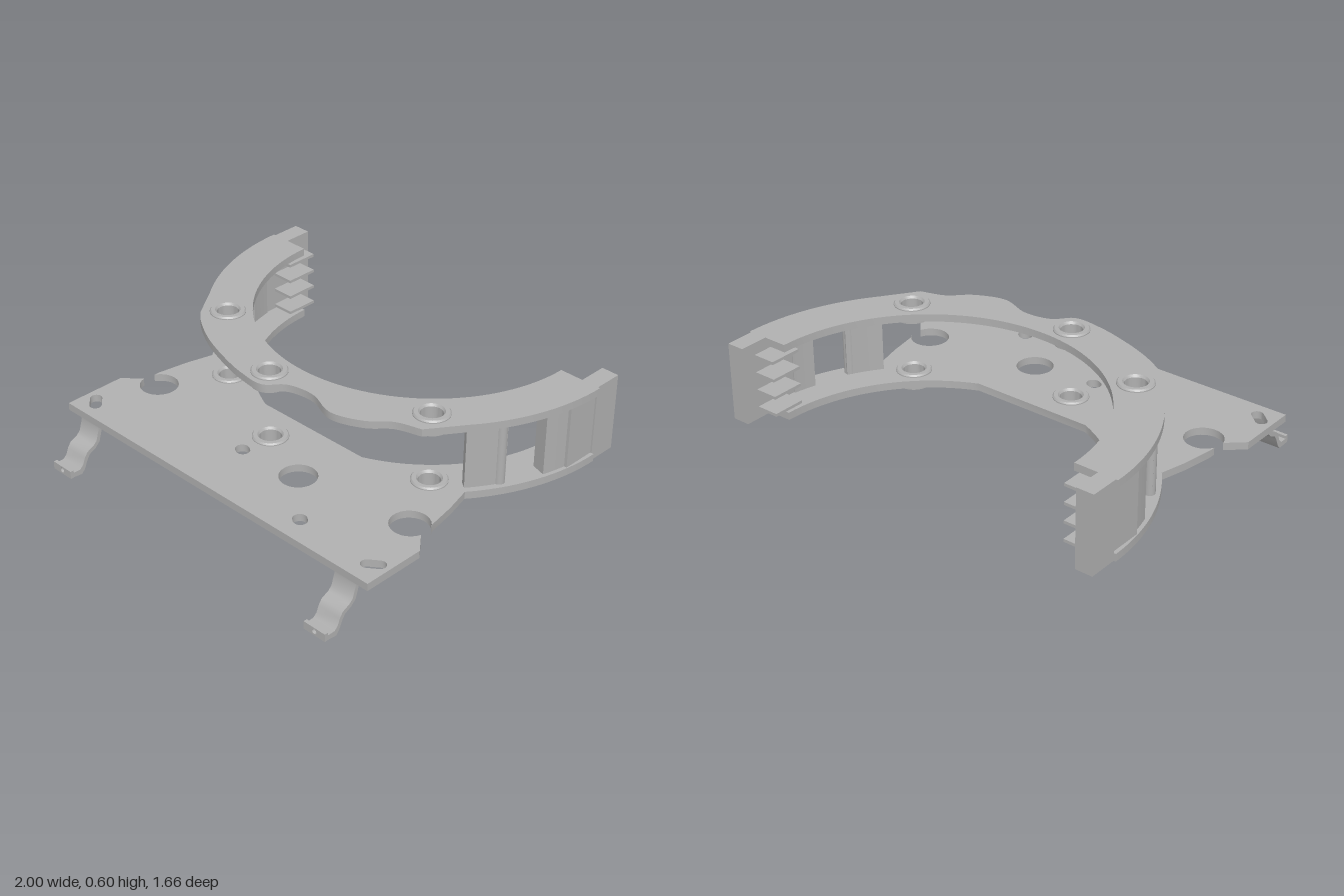
import * as THREE from 'three';
import { toCreasedNormals } from 'three/addons/utils/BufferGeometryUtils.js';

const CZ = -0.69;            // centre of the ring arcs
const R_OUT = 1, R_IN = 0.79;
const LOW = 0.246, HIGH = 0.584, THICK = 0.036;

// Points (x, z) along an arc
function arc(cx, cz, r, a0, a1, n = 24) {
  return Array.from({ length: n + 1 }, (_, i) => {
    const a = a0 + (a1 - a0) * i / n;
    return new THREE.Vector2(cx + r * Math.cos(a), cz + r * Math.sin(a));
  });
}
const pts = (list) => list.map(([x, z]) => new THREE.Vector2(x, z));

// Flat outline in x/z extruded downwards from height top
function slab(outline, holes, top, thick) {
  const shape = new THREE.Shape(outline);
  shape.holes = holes.map((h) => new THREE.Path(h));
  const g = new THREE.ExtrudeGeometry(shape, { depth: thick, bevelEnabled: false });
  g.rotateX(Math.PI / 2).translate(0, top, 0);
  return toCreasedNormals(g, 0.5);
}

const circle = (x, z, r) => arc(x, z, r, 0, Math.PI * 2, 32).slice(0, -1);

// Rounded slot between two points
function slot(x0, z0, x1, z1, r) {
  const a = Math.atan2(z1 - z0, x1 - x0), h = Math.PI / 2;
  return [...arc(x1, z1, r, a - h, a + h, 10), ...arc(x0, z0, r, a + h, a + 3 * h, 10)];
}

// Curved strip that follows the ring
function band(r0, r1, a0, a1) {
  return [...arc(0, CZ, r1, a0, a1, 10), ...arc(0, CZ, r0, a1, a0, 10)];
}

export function createModel() {
  const model = new THREE.Group();
  const grey = new THREE.MeshStandardMaterial({ color: 0xb0b0b0 });
  grey.name = 'grey';
  const add = (name, geometry, parent = model) => {
    const mesh = new THREE.Mesh(geometry, grey);
    mesh.name = name;
    parent.add(mesh);
    return mesh;
  };
  const box = (name, x0, x1, y0, y1, z0, z1, parent) => {
    const g = new THREE.BoxGeometry(x1 - x0, y1 - y0, z1 - z0);
    g.translate((x0 + x1) / 2, (y0 + y1) / 2, (z0 + z1) / 2);
    return add(name, g, parent);
  };

  const PI = Math.PI, JOIN = 0.657;
  const grommets = [[-0.605, -0.02], [0.625, -0.04], [-0.097, 0.205]];
  const grommetHoles = grommets.map(([x, z]) => circle(x, z, 0.055));

  // Lower plate: ring arms running into a wide base with open side notches
  const chord = Math.asin((0.04 - CZ) / R_IN);
  const lower = [
    ...arc(0, CZ, R_OUT, PI, PI - JOIN),
    ...pts([[-0.825, 0.05], [-0.85, 0.2]]),
    ...arc(-0.77, 0.27, 0.09, -2.68, 2.95),
    ...pts([[-0.94, 0.36], [-0.94, 0.665], [0.935, 0.665], [0.935, 0.36]]),
    ...arc(0.78, 0.25, 0.09, 0.3, 2 * PI - 0.46).map((p) => p),
    ...pts([[0.85, 0.19], [0.825, 0.05]]),
    ...arc(0, CZ, R_OUT, JOIN, 0),
    ...arc(0, CZ, R_IN, 0, chord),
    ...arc(0, CZ, R_IN, PI - chord, PI),
  ];
  add('lowerPlate', slab(lower, [
    ...grommetHoles,
    circle(0.21, 0.335, 0.086),
    slot(-0.113, 0.362, -0.101, 0.368, 0.032),
    slot(0.434, 0.547, 0.446, 0.555, 0.032),
    slot(-0.885, 0.55, -0.84, 0.59, 0.028),
    slot(0.885, 0.54, 0.842, 0.572, 0.028),
  ], LOW, THICK));

  // Upper plate: ring with an irregular front edge
  const front = new THREE.CatmullRomCurve3([
    [-0.69, 0.07], [-0.635, 0.12], [-0.5, 0.2], [-0.34, 0.26], [-0.18, 0.3], [-0.04, 0.305],
    [0.03, 0.235], [0.1, 0.212], [0.18, 0.21], [0.32, 0.255], [0.47, 0.2], [0.56, 0.12],
    [0.68, 0.08],
  ].map(([x, z]) => new THREE.Vector3(x, 0, z)), false, 'centripetal')
    .getPoints(60).map((p) => new THREE.Vector2(p.x, p.z));
  add('upperPlate', slab([
    ...arc(0, CZ, R_OUT, PI, PI - JOIN),
    ...front,
    ...arc(0, CZ, R_OUT, JOIN, 0),
    ...arc(0, CZ, R_IN, 0, PI, 64),
  ], grommetHoles, HIGH, THICK));

  // Grommets with a groove gripping each plate
  const profile = [
    [0.05, -0.037], [0.083, -0.037], [0.083, -0.017], [0.06, -0.017], [0.06, 0.017],
    [0.083, 0.017], [0.083, 0.03], [0.077, 0.037], [0.058, 0.037], [0.05, 0.026], [0.05, -0.037],
  ].map(([x, y]) => new THREE.Vector2(x, y));
  const grommetGeo = toCreasedNormals(new THREE.LatheGeometry(profile, 32), 0.5);
  for (const top of [LOW, HIGH]) {
    for (const [x, z] of grommets) {
      add('grommet', grommetGeo).position.set(x, top - 0.025, z);
    }
  }

  // Arm supports, end blocks and fins, on both sides
  const gapTop = HIGH - THICK, gapBottom = LOW, gap = gapTop - gapBottom;
  for (const side of [1, -1]) {
    const arm = new THREE.Group();
    arm.name = side > 0 ? 'leftArm' : 'rightArm';
    model.add(arm);
    const flip = (list) => (side > 0 ? list : list.map((p) => new THREE.Vector2(-p.x, p.y)).reverse());
    add('frontPost', slab(flip(band(0.93, 0.97, 0.468, 0.655)), [], gapTop, gap), arm);
    const rim = new THREE.CylinderGeometry(0.026, 0.026, gap, 20);
    add('frontPostEdge', rim, arm).position.set(side * 0.842, (gapTop + gapBottom) / 2, -0.24);
    add('rearPost', slab(flip(band(0.91, 0.982, 0.165, 0.285)), [], gapTop, gap), arm);

    const span = (a, b) => (side > 0 ? [a, b] : [-b, -a]);
    box('sidePanel', ...span(0.905, 0.982), gapBottom, gapTop, -0.69, -0.525, arm);
    box('endBlock', ...span(0.905, 0.99), LOW - THICK, HIGH, -0.83, -0.688, arm);
    for (let i = 0; i < 4; i++) {
      const y = 0.262 + i * 0.086;
      box('fin', ...span(0.795, 0.907), y - 0.007, y + 0.007, -0.76, -0.6, arm);
    }
  }

  // Bent spring clips under the front edge; profile is (z, y)
  const clip = new THREE.Shape(pts([
    [0.632, 0.212], [0.655, 0.212], [0.655, 0.19], [0.672, 0.135], [0.69, 0.118], [0.728, 0.1],
    [0.745, 0.075], [0.757, 0.045], [0.775, 0.028], [0.815, 0.028], [0.815, 0.005],
    [0.765, 0], [0.748, 0.02], [0.73, 0.06], [0.715, 0.083], [0.68, 0.1], [0.655, 0.125],
    [0.638, 0.18],
  ]));
  const clipGeo = new THREE.ExtrudeGeometry(clip, { depth: 0.12, bevelEnabled: false });
  clipGeo.rotateY(-PI / 2).translate(0.06, 0, 0);
  const lip = new THREE.Shape(pts([[-0.06, 0.004], [0.06, 0.004], [0.06, 0.042], [-0.06, 0.042]]));
  lip.holes.push(new THREE.Path(circle(0, 0.023, 0.012)));
  const lipGeo = new THREE.ExtrudeGeometry(lip, { depth: 0.018, bevelEnabled: false });
  lipGeo.translate(0, 0, 0.812);
  const clipSmooth = toCreasedNormals(clipGeo, 0.6);
  for (const x of [-0.805, 0.802]) {
    const g = new THREE.Group();
    g.name = 'springClip';
    g.position.x = x;
    model.add(g);
    add('clipStrip', clipSmooth, g);
    add('clipLip', lipGeo, g);
  }
  return model;
}
